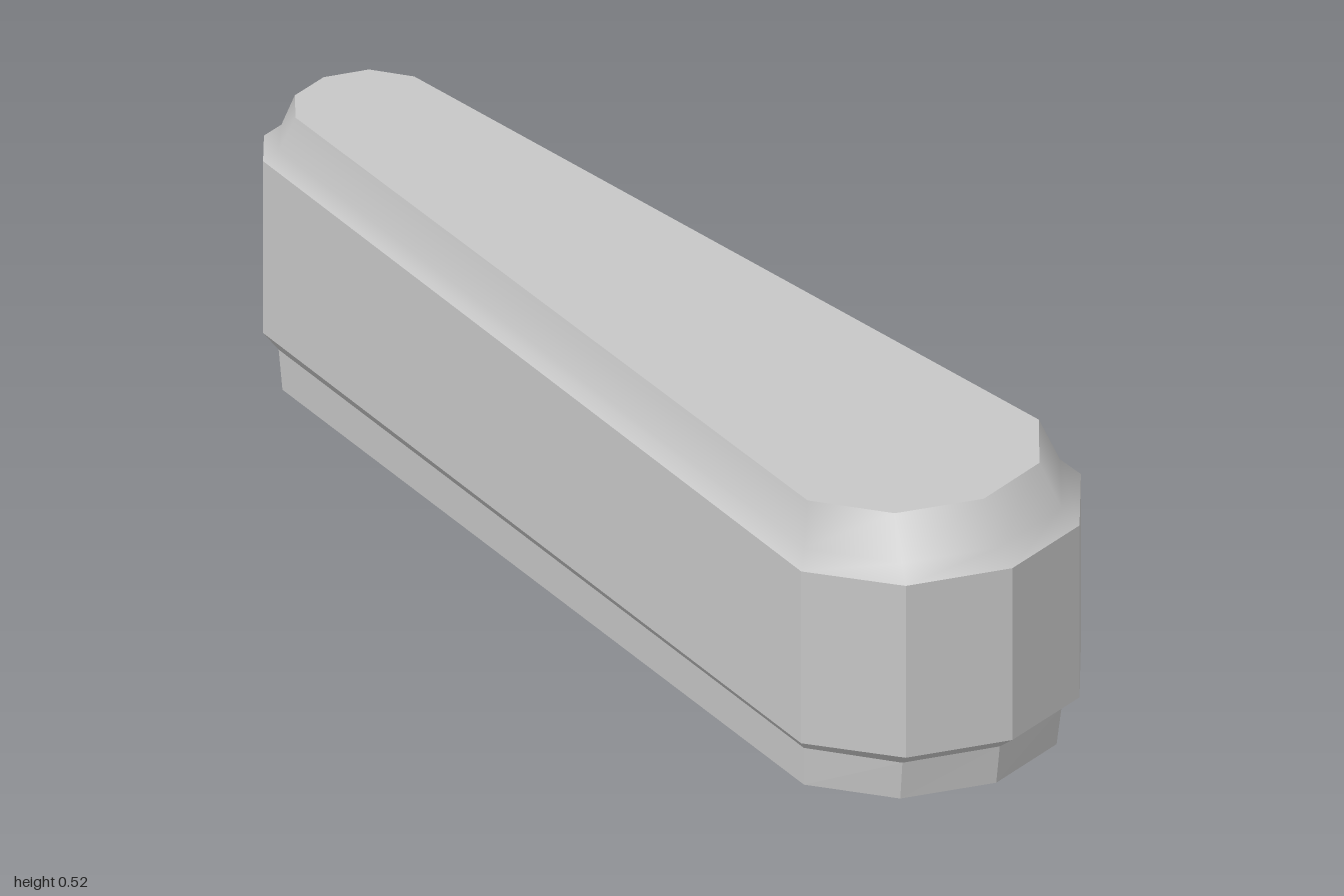
import * as THREE from 'three';

// Half outlines from the front tip round the +x side to the back tip, as [x, z]
const FOOT = [[0, 0.955], [0.162, 0.905], [0.262, 0.77], [0.132, -0.87], [0.078, -0.94], [0, -0.96]];
const FOOT_TOP = [[0, 0.965], [0.165, 0.915], [0.266, 0.775], [0.134, -0.878], [0.08, -0.945], [0, -0.97]];
const BODY = [[0, 1], [0.18, 0.945], [0.29, 0.8], [0.15, -0.9], [0.095, -0.972], [0, -1]];
const SHOULDER = [[0, 0.965], [0.165, 0.915], [0.265, 0.775], [0.134, -0.878], [0.08, -0.945], [0, -0.97]];
const TOP = [[0, 0.92], [0.15, 0.873], [0.24, 0.75], [0.123, -0.845], [0.077, -0.91], [0, -0.933]];

// Mirror a half outline into a closed ring at height y
function ring(half, y) {
  const mirrored = half.slice(1, -1).reverse().map(([x, z]) => [-x, z]);
  return [...half, ...mirrored].map(([x, z]) => new THREE.Vector3(x, y, z));
}

// Wall joining a stack of rings, listed from the bottom up
function wall(rings, smooth) {
  const n = rings[0].length;
  const geometry = new THREE.BufferGeometry().setFromPoints(rings.flat());
  const index = [];
  for (let r = 0; r < rings.length - 1; r++) {
    for (let i = 0; i < n; i++) {
      const a = r * n + i;
      const b = r * n + (i + 1) % n;
      index.push(a, b, b + n, a, b + n, a + n);
    }
  }
  geometry.setIndex(index);
  const result = smooth ? geometry : geometry.toNonIndexed();
  result.computeVertexNormals();
  return result;
}

// Flat cap filling a ring
function cap(points, up) {
  const geometry = new THREE.BufferGeometry().setFromPoints(points);
  const index = [];
  for (let i = 1; i < points.length - 1; i++) {
    index.push(0, ...(up ? [i, i + 1] : [i + 1, i]));
  }
  geometry.setIndex(index);
  geometry.computeVertexNormals();
  return geometry;
}

export function createModel() {
  const model = new THREE.Group();
  model.name = 'taperedBlock';
  const grey = new THREE.MeshStandardMaterial({ color: 0xc6c6c6 });
  grey.name = 'lightGrey';

  const add = (name, geometry) => {
    const mesh = new THREE.Mesh(geometry, grey);
    mesh.name = name;
    model.add(mesh);
  };

  const base = ring(FOOT, 0);
  const footTop = ring(FOOT_TOP, 0.073);
  const bodyBottom = ring(BODY, 0.1);
  const bodyTop = ring(BODY, 0.425);
  const shoulder = ring(SHOULDER, 0.45);
  const top = ring(TOP, 0.522);

  // Recessed foot and its underside
  add('underside', cap(base, false));
  add('foot', wall([base, footTop], false));
  // Faceted body with a chamfer below
  add('lowerChamfer', wall([footTop, bodyBottom], true));
  add('body', wall([bodyBottom, bodyTop], false));
  // Softly shaded shoulder rising to the flat top
  add('shoulder', wall([bodyTop, shoulder, top], true));
  add('topFace', cap(top, true));

  return model;
}
